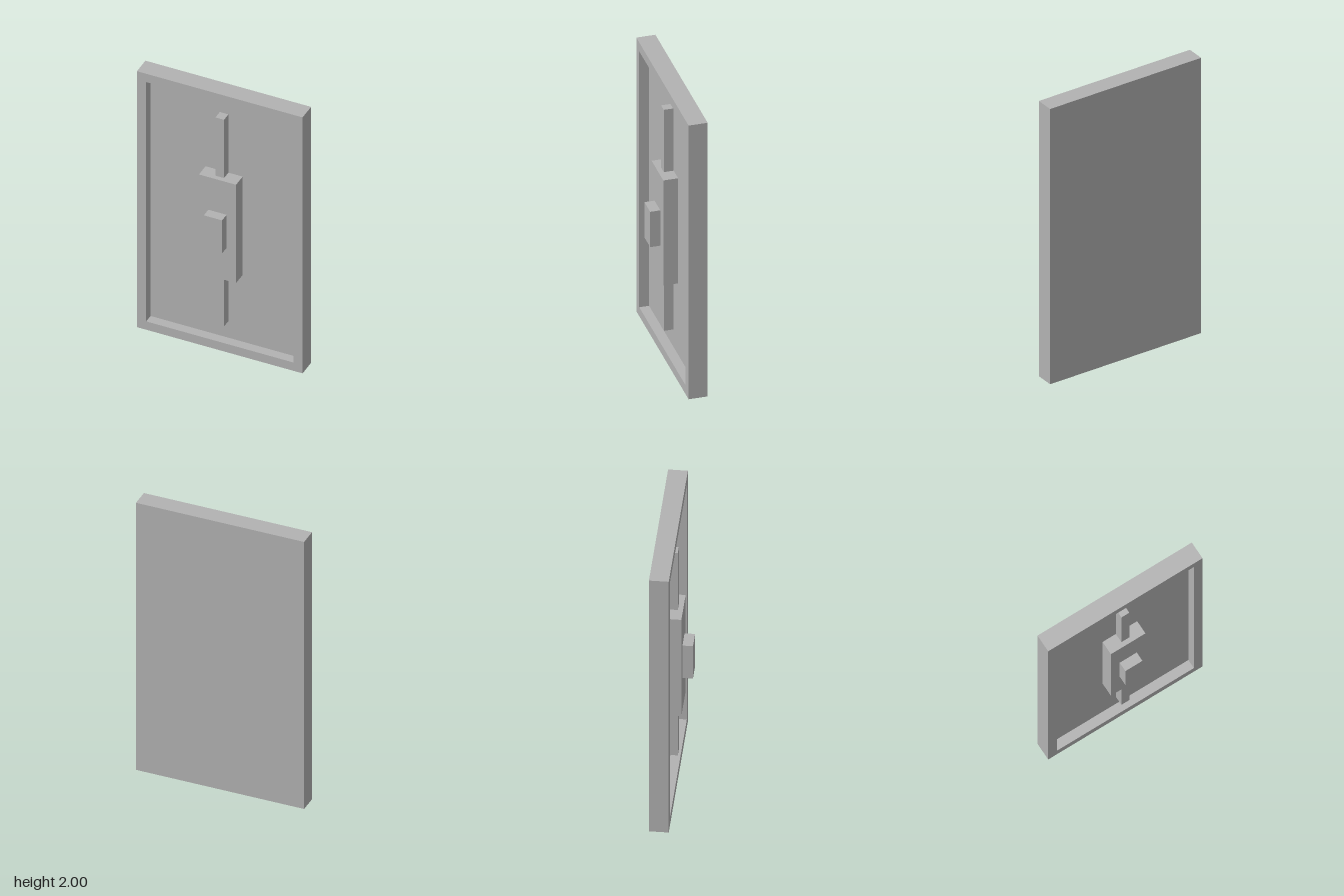
import * as THREE from 'three';

const grey = new THREE.MeshStandardMaterial({ name: 'plain grey', color: 0xb2b2b2 });

const BACK = -0.113, FLOOR = -0.052, FRONT = 0.013;

// Box given by its limits on each axis
function box(name, [x0, x1], [y0, y1], [z0, z1]) {
  const mesh = new THREE.Mesh(new THREE.BoxGeometry(x1 - x0, y1 - y0, z1 - z0), grey);
  mesh.position.set((x0 + x1) / 2, (y0 + y1) / 2, (z0 + z1) / 2);
  mesh.name = name;
  return mesh;
}

// Counter-clockwise rectangle
function rectangle(Type, x, y0, y1) {
  return new Type([[-x, y0], [x, y0], [x, y1], [-x, y1]].map(p => new THREE.Vector2(...p)));
}

export function createModel() {
  const model = new THREE.Group();
  model.name = 'panel';

  // Back panel, the floor of the recess
  model.add(box('backPanel', [-0.58, 0.58], [0, 2], [BACK, FLOOR]));

  // Raised rim around the recess
  const outline = rectangle(THREE.Shape, 0.58, 0, 2);
  outline.holes.push(rectangle(THREE.Path, 0.515, 0.065, 1.935));
  const rim = new THREE.Mesh(
    new THREE.ExtrudeGeometry(outline, { depth: FRONT - FLOOR, bevelEnabled: false }), grey);
  rim.position.z = FLOOR;
  rim.name = 'rim';
  model.add(rim);

  // Upright bars above and below the central plate
  model.add(box('upperBar', [-0.03, 0.03], [1.355, 1.81], [FLOOR, FRONT]));
  model.add(box('lowerBar', [-0.03, 0.03], [0.195, 0.587], [FLOOR, FRONT]));

  // Central plate with its raised block
  model.add(box('centralPlate', [-0.13, 0.13], [0.587, 1.355], [FLOOR, 0.046]));
  model.add(box('block', [-0.064, 0.064], [0.842, 1.1], [0.046, 0.113]));

  return model;
}
